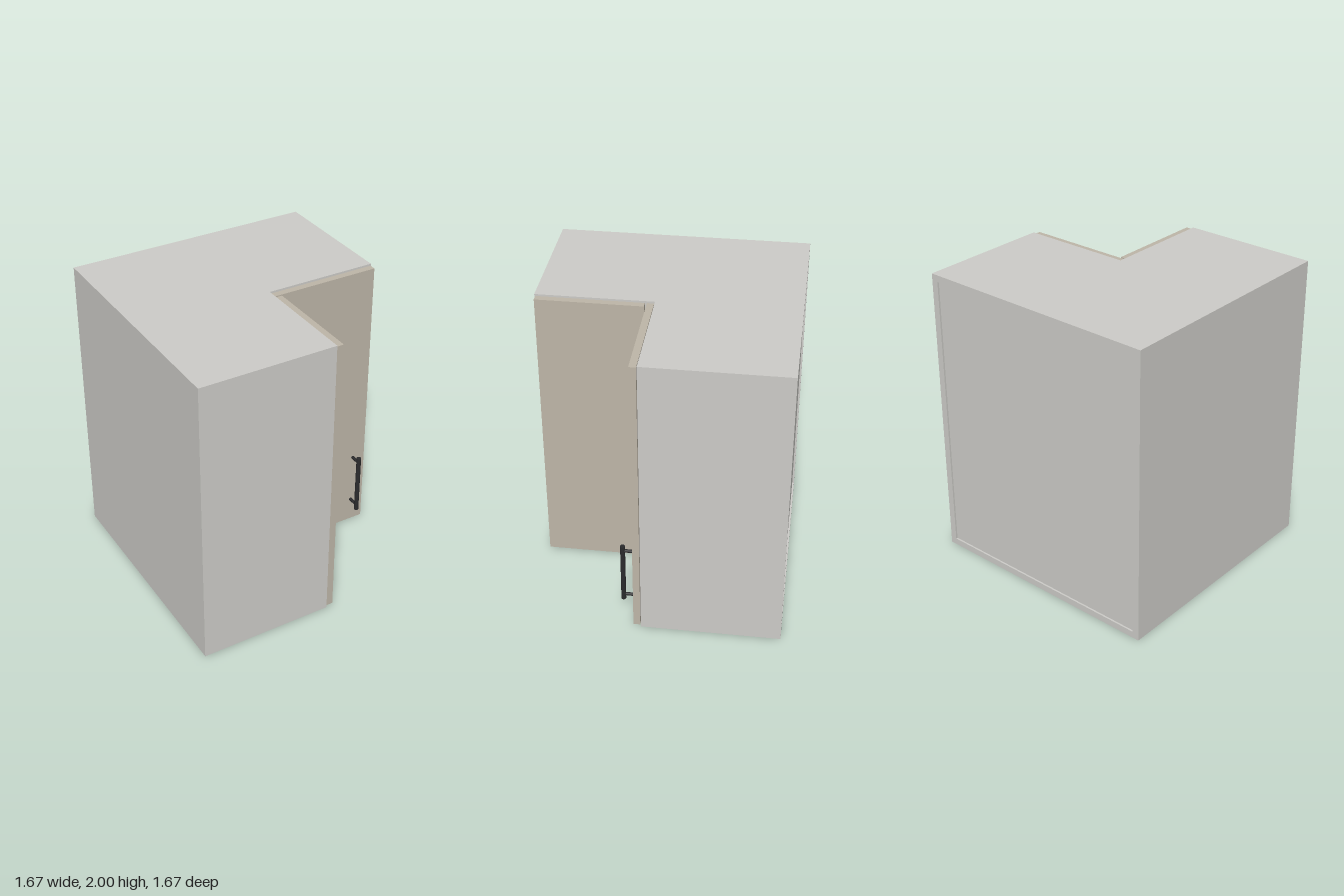
import * as THREE from 'three';

const H = 2;          // cabinet height
const S = 0.833;      // half of the footprint
const T = 0.045;      // board thickness
const F = 0.078;      // front edge of the carcass inside the notch
const D = 0.083;      // rear face of the doors

export function createModel() {
  const group = new THREE.Group();
  const bodyMat = new THREE.MeshStandardMaterial({ color: 0xcccbc7 });
  const doorMat = new THREE.MeshStandardMaterial({ color: 0xbdb5a7 });
  const handleMat = new THREE.MeshStandardMaterial({ color: 0x2b2b2d });

  const add = (name, geometry, material, parent = group) => {
    const mesh = new THREE.Mesh(geometry, material);
    mesh.name = name;
    parent.add(mesh);
    return mesh;
  };
  // Box given by its limits on each axis
  const board = (name, [x0, x1], [y0, y1], [z0, z1], material = bodyMat) => {
    const mesh = add(name, new THREE.BoxGeometry(x1 - x0, y1 - y0, z1 - z0), material);
    mesh.position.set((x0 + x1) / 2, (y0 + y1) / 2, (z0 + z1) / 2);
    return mesh;
  };

  // L-shaped top and bottom boards (shape y becomes -z)
  const outline = new THREE.Shape(
    [[-S, S], [-S, -S], [F, -S], [F, -F], [S, -F], [S, S]].map(([x, y]) => new THREE.Vector2(x, y)));
  const plate = new THREE.ExtrudeGeometry(outline, { depth: T, bevelEnabled: false });
  plate.rotateX(-Math.PI / 2);
  add('bottomBoard', plate, bodyMat);
  add('topBoard', plate, bodyMat).position.y = H - T;

  // Upright sides, and a back panel set slightly into the frame
  const inner = [T, H - T];
  board('rightSide', [-S, -S + T], inner, [-S, S]);
  board('leftSide', [S - T, S], inner, [-S, F]);
  board('frontSide', [-S + T, F], inner, [S - T, S]);
  board('backPanel', [-S + T, S - T], inner, [-S + 0.012, -S + 0.03]);

  // Two doors meeting in the inner corner
  const doorY = [0.01, 1.99];
  board('wideDoor', [D, 0.826], doorY, [D, 0.128], doorMat);
  board('narrowDoor', [D, 0.128], doorY, [0.14, 0.826], doorMat);

  // Bar handle on two posts
  const handle = new THREE.Group();
  handle.name = 'handle';
  handle.position.x = 0.732;
  group.add(handle);
  const bar = add('handleBar', new THREE.CylinderGeometry(0.016, 0.016, 0.44, 16), handleMat, handle);
  bar.position.set(0, 0.365, 0.204);
  for (const y of [0.183, 0.547]) {
    const post = add('handlePost', new THREE.CylinderGeometry(0.011, 0.011, 0.077, 16), handleMat, handle);
    post.rotation.x = Math.PI / 2;
    post.position.set(0, y, 0.1655);
  }
  return group;
}
